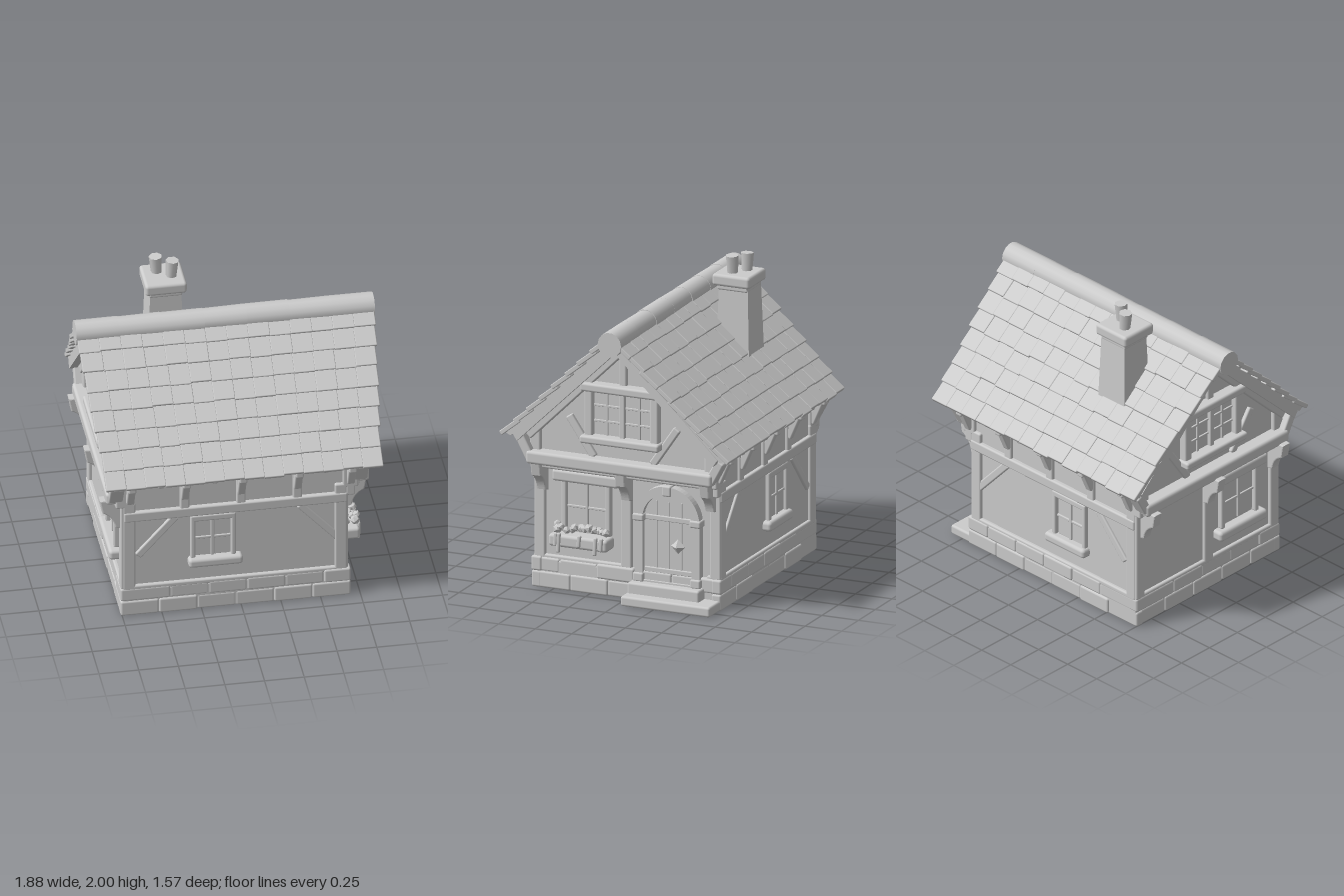
import * as THREE from 'three';
import { RoundedBoxGeometry } from 'three/addons/geometries/RoundedBoxGeometry.js';

export function createModel() {
  const root = new THREE.Group();
  root.name = 'cottage';
  const clay = new THREE.MeshStandardMaterial({ color: 0xcccccc });
  clay.name = 'pale grey clay';

  let seed = 7;
  const rnd = () => (seed = (seed * 16807) % 2147483647) / 2147483647;
  const jit = (a) => (rnd() - 0.5) * 2 * a;

  const add = (name, geo, x = 0, y = 0, z = 0) => {
    const m = new THREE.Mesh(geo, clay);
    m.name = name;
    m.position.set(x, y, z);
    root.add(m);
    return m;
  };
  // softened box given by its limits on each axis
  const box = (name, x0, x1, y0, y1, z0, z1, r = 0.012) => {
    const w = Math.abs(x1 - x0), h = y1 - y0, d = Math.abs(z1 - z0);
    const geo = new RoundedBoxGeometry(w, h, d, 2, Math.min(r, Math.min(w, h, d) * 0.4));
    return add(name, geo, (x0 + x1) / 2, (y0 + y1) / 2, (z0 + z1) / 2);
  };
  // timber running between two points
  const bar = (name, a, b, w, d) => {
    const p = new THREE.Vector3(...a), q = new THREE.Vector3(...b);
    const m = add(name, new RoundedBoxGeometry(w, p.distanceTo(q), d, 2, 0.01));
    m.position.copy(p).add(q).multiplyScalar(0.5);
    m.quaternion.setFromUnitVectors(new THREE.Vector3(0, 1, 0), q.sub(p).normalize());
    return m;
  };
  const shapeOf = (pts) => new THREE.Shape(pts.map((p) => new THREE.Vector2(...p)));
  // outline drawn in (-z, y), extruded along x from x0 to x1
  const slabX = (name, shape, x0, x1) => {
    const geo = new THREE.ExtrudeGeometry(shape, { depth: x1 - x0, bevelEnabled: false, curveSegments: 16 });
    geo.rotateY(Math.PI / 2);
    return add(name, geo, x0, 0, 0);
  };

  // walls: ground floor, jettied upper floor with gables
  box('groundFloorWalls', -0.735, 0.65, 0.02, 0.86, -0.62, 0.62);
  slabX('upperWalls', shapeOf([[-0.62, 0.82], [0.62, 0.82], [0.62, 1.04], [0, 1.68], [-0.62, 1.04]]), -0.76, 0.72);

  // stone plinth in two uneven courses
  box('plinthCore', -0.75, 0.68, 0, 0.185, -0.64, 0.64);
  [[0, 0.105, 0], [0.105, 0.198, 0.5]].forEach(([y0, y1, shift]) => {
    const course = (from, to, n, place) => {
      const step = (to - from) / n;
      for (let i = 0; i < n; i++) {
        const cut = i === 0 ? 0 : shift * step * 0.6;
        const next = i === n - 1 ? 0 : shift * step * 0.6;
        place(from + i * step + cut, from + (i + 1) * step + next, jit(0.006));
      }
    };
    for (const s of [-1, 1]) {
      course(-0.76, 0.69, 6, (a, b, j) => box('plinthStone', a, b, y0, y1 + j / 2, s * 0.58, s * (0.646 + j), 0.014));
      course(-0.64, 0.64, 5, (a, b, j) => {
        const x = s > 0 ? 0.685 : -0.757;
        box('plinthStone', x - s * 0.06, x + s * j, y0, y1 + j / 2, a, b, 0.014);
      });
    }
  });

  // entrance steps
  box('lowerStep', 0.64, 0.845, 0, 0.065, -0.64, -0.03, 0.015);
  box('upperStep', 0.64, 0.765, 0.05, 0.135, -0.53, -0.04, 0.015);

  // long side walls: posts, rails, braces, window, rafter tails
  for (const s of [-1, 1]) {
    const z0 = s * 0.6, z1 = s * 0.642;
    box('wallPlate', -0.74, 0.67, 0.695, 0.765, z0, z1 + s * 0.006);
    box('sillRail', -0.74, 0.67, 0.18, 0.215, z0, z1);
    for (const [a, b] of [[-0.745, -0.665], [0.59, 0.668]]) box('cornerPost', a, b, 0.19, 0.83, z0, z1);
    for (const [a, b] of [[-0.79, -0.68], [0.64, 0.74]]) box('upperCornerPost', a, b, 0.8, 1.03, z0, z1);
    bar('wallBrace', [-0.65, 0.43, s * 0.622], [-0.41, 0.7, s * 0.622], 0.05, 0.03);
    bar('wallBrace', [0.63, 0.41, s * 0.622], [0.37, 0.7, s * 0.622], 0.05, 0.03);
    for (const x of [-0.7, -0.355, 0, 0.355, 0.69]) {
      box('upperStud', x - 0.03, x + 0.03, 0.74, 1.04, z0, z1);
      bar('rafterTail', [x, 0.84, s * 0.63], [x, 1.0, s * 0.7], 0.05, 0.05);
      box('rafterEnd', x - 0.026, x + 0.026, 0.965, 1.03, s * 0.6, s * 0.735);
    }
    for (const x of [-0.52, -0.18, 0.18, 0.52]) box('smallRafterEnd', x - 0.02, x + 0.02, 0.98, 1.03, s * 0.6, s * 0.73);
    // side window
    box('windowPane', -0.29, -0.07, 0.39, 0.67, z0, s * 0.625, 0.002);
    for (const x of [-0.32, -0.065]) box('windowJamb', x, x + 0.032, 0.38, 0.69, z0, s * 0.65);
    box('windowHead', -0.32, -0.033, 0.655, 0.7, z0, s * 0.65);
    box('windowMullion', -0.19, -0.168, 0.39, 0.66, z0, s * 0.636, 0.005);
    box('windowBar', -0.29, -0.065, 0.515, 0.533, z0, s * 0.634, 0.005);
    box('windowSill', -0.335, 0.008, 0.325, 0.39, z0, s * 0.678, 0.022);
  }

  // gable ends
  const bracketShape = new THREE.Shape();
  bracketShape.moveTo(0, 0.64);
  bracketShape.lineTo(0.03, 0.65);
  bracketShape.quadraticCurveTo(0.045, 0.73, 0.11, 0.76);
  bracketShape.lineTo(0.125, 0.84);
  bracketShape.lineTo(0, 0.84);
  for (const s of [-1, 1]) {
    const low = s > 0 ? 0.65 : -0.735, up = s > 0 ? 0.72 : -0.76;
    const out = (d) => up + s * d;
    // ground floor timbers
    for (const z of [-0.6, 0.01, 0.6]) box('gablePost', low - s * 0.03, low + s * 0.024, 0.19, 0.83, z - 0.038, z + 0.038);
    box('gableSillRail', low - s * 0.03, low + s * 0.022, 0.18, 0.215, -0.62, s > 0 ? -0.54 : 0.62);
    if (s > 0) box('gableSillRail', 0.62, 0.672, 0.18, 0.215, 0, 0.62);
    // jetty brackets and beam
    for (const z of [-0.575, 0, 0.575]) {
      const geo = new THREE.ExtrudeGeometry(bracketShape, { depth: 0.05, bevelSize: 0.008, bevelThickness: 0.008, bevelSegments: 2 });
      geo.translate(0, 0, -0.025);
      const m = add('jettyBracket', geo, low + s * 0.015, 0, z);
      if (s < 0) m.rotation.y = Math.PI;
      m.scale.y = 1;
    }
    box('jettyBeam', out(-0.06), out(0.09), 0.83, 0.915, -0.635, 0.635, 0.02);
    box('jettyUnderside', low - s * 0.02, out(0.04), 0.8, 0.85, -0.61, 0.61);
    // gable framing
    for (const z of [-1, 1]) {
      bar('gableBrace', [out(0.005), 0.91, z * 0.2], [out(0.005), 1.16, z * 0.37], 0.04, 0.05);
      box('gableCornerPost', out(-0.03), out(0.03), 0.88, 1.06, z * 0.56, z * 0.635);
      bar('eaveCorbel', [out(0.03), 0.86, z * 0.61], [out(0.03), 1.0, z * 0.685], 0.09, 0.06);
      bar('gableRafter', [out(0.01), 1.635, 0], [out(0.01), 1.0, z * 0.645], 0.06, 0.06);
    }
    box('kingPost', out(-0.03), out(0.025), 1.38, 1.67, -0.026, 0.026);
    // upper window
    box('upperWindowPane', out(-0.02), out(0.008), 1.04, 1.36, -0.2, 0.2, 0.002);
    box('upperWindowHead', out(-0.03), out(0.075), 1.345, 1.4, -0.27, 0.27, 0.015);
    box('upperWindowSill', out(-0.03), out(0.085), 1.01, 1.06, -0.27, 0.27, 0.015);
    for (const z of [-0.225, 0.225]) box('upperWindowJamb', out(-0.03), out(0.05), 1.04, 1.36, z - 0.028, z + 0.028);
    box('upperWindowMullion', out(-0.03), out(0.035), 1.05, 1.36, -0.016, 0.016, 0.005);
    for (const z of [-0.11, 0.11]) box('upperWindowBar', out(-0.02), out(0.018), 1.05, 1.35, z - 0.008, z + 0.008, 0.003);
    for (const y of [1.15, 1.25]) box('upperWindowBar', out(-0.02), out(0.018), y - 0.007, y + 0.007, -0.2, 0.2, 0.003);
    // lower window
    const w = (d) => low + s * d;
    box('lowerWindowPane', w(-0.02), w(0.006), 0.4, 0.7, 0.14, 0.42, 0.002);
    for (const z of [0.13, 0.43]) box('lowerWindowJamb', w(-0.02), w(0.035), 0.38, 0.72, z - 0.018, z + 0.018);
    box('lowerWindowMullion', w(-0.02), w(0.02), 0.4, 0.71, 0.27, 0.29, 0.005);
    box('lowerWindowBar', w(-0.02), w(0.016), 0.54, 0.556, 0.13, 0.43, 0.004);
    box('lowerWindowHead', w(-0.02), w(0.06), 0.71, 0.785, 0.05, 0.5, 0.018);
    if (s < 0) box('lowerWindowSill', w(-0.02), w(0.07), 0.315, 0.385, 0.07, 0.49, 0.022);
  }

  // flower box with blossoms and trailing leaves
  box('flowerBox', 0.65, 0.775, 0.305, 0.385, 0.095, 0.495, 0.02);
  for (let i = 0; i < 13; i++) {
    const z = 0.12 + (i / 12) * 0.35;
    const m = add('flower', new THREE.IcosahedronGeometry(0.024 + rnd() * 0.008, 0), 0.73 + jit(0.04), 0.408 + rnd() * 0.035, z);
    m.rotation.set(rnd() * 3, rnd() * 3, 0);
  }
  for (const [z, y] of [[0.42, 0.27], [0.44, 0.31], [0.28, 0.32], [0.17, 0.28], [0.13, 0.31]])
    bar('trailingLeaf', [0.775, 0.4, z], [0.775, y, z + 0.008], 0.02, 0.026);

  // arched door with surround
  const arch = (half, base, spring) => {
    const s = new THREE.Shape();
    s.moveTo(0.285 - half, base);
    s.lineTo(0.285 + half, base);
    s.lineTo(0.285 + half, spring);
    s.absarc(0.285, spring, half, 0, Math.PI, false);
    s.lineTo(0.285 - half, base);
    return s;
  };
  const surround = arch(0.222, 0.13, 0.545);
  surround.holes.push(new THREE.Path(arch(0.168, 0.145, 0.545).getPoints(16)));
  slabX('doorSurround', surround, 0.63, 0.705);
  slabX('doorLeaf', arch(0.17, 0.13, 0.545), 0.63, 0.668);
  for (let i = -1; i <= 1; i++) box('doorPlankRib', 0.66, 0.674, 0.14, 0.66, -0.285 + i * 0.085 - 0.004, -0.285 + i * 0.085 + 0.004, 0.002);
  for (const y of [0.21, 0.55]) box('doorStrap', 0.66, 0.682, y - 0.016, y + 0.016, -0.45, -0.12, 0.005);
  for (const z of [-0.09, -0.48]) {
    box('doorImpost', 0.63, 0.718, 0.525, 0.572, z - 0.038, z + 0.038);
    box('doorPostFoot', 0.63, 0.716, 0.13, 0.19, z - 0.035, z + 0.035);
  }
  box('archKeystone', 0.63, 0.718, 0.705, 0.775, -0.315, -0.255);
  add('doorKnob', new THREE.OctahedronGeometry(0.048), 0.705, 0.39, -0.362).scale.x = 0.8;

  // roof deck and barge boards
  const chevron = (top, thick, reach) => shapeOf([
    [0, top], [-reach, top - 0.97 * reach], [-reach + 0.03, top - thick - 0.97 * (reach - 0.03)],
    [0, top - thick], [reach - 0.03, top - thick - 0.97 * (reach - 0.03)], [reach, top - 0.97 * reach]]);
  slabX('roofDeck', chevron(1.755, 0.045, 0.745), -0.855, 0.855);
  for (const x of [-0.86, 0.81]) slabX('bargeBoard', chevron(1.715, 0.075, 0.7), x, x + 0.05);

  // overlapping shingle courses, narrowing toward the eaves
  const rows = 8, perRow = 14;
  for (const s of [-1, 1]) {
    for (let r = 0; r < rows; r++) {
      const zTop = 0.02 + r * 0.0915, zLow = zTop + 0.109;
      const half = 0.935 - 0.075 * ((r + 0.5) / rows) + jit(0.006);
      const step = (2 * half) / perRow;
      for (let i = 0; i < perRow; i++) {
        const len = 0.155 + jit(0.008), lift = jit(0.004);
        const geo = new RoundedBoxGeometry(step + 0.004, 0.03, len, 1, 0.006);
        const x = -half + (i + 0.5) * step, z = (zTop + zLow) / 2;
        const m = add('shingle', geo, x, 1.768 - 0.97 * z + lift, s * z);
        m.rotation.x = s * (Math.atan(0.97) - 0.1);
        m.rotation.y = 0;
      }
    }
  }
  // rounded ridge caps
  for (let i = 0; i < 7; i++) {
    const geo = new THREE.CylinderGeometry(0.078 + jit(0.003), 0.08, 0.272, 14);
    geo.rotateZ(Math.PI / 2);
    add('ridgeCap', geo, -0.804 + i * 0.268, 1.717 + jit(0.003), 0);
  }

  // chimney: flared stack, cap and two pots
  const stack = new THREE.CylinderGeometry(0.138, 0.165, 0.6, 4, 1);
  stack.rotateY(Math.PI / 4);
  const flat = stack.toNonIndexed();
  flat.computeVertexNormals();
  add('chimneyStack', flat, -0.33, 1.53, -0.31);
  box('chimneyCap', -0.462, -0.2, 1.81, 1.887, -0.432, -0.175, 0.02);
  box('chimneyCollar', -0.435, -0.225, 1.78, 1.82, -0.41, -0.2);
  for (const [x, z, lean] of [[-0.37, -0.34, 0.06], [-0.28, -0.28, -0.06]]) {
    const pot = add('chimneyPot', new THREE.CylinderGeometry(0.042, 0.034, 0.125, 7), x, 1.936, z);
    pot.rotation.z = lean;
  }
  return root;
}
